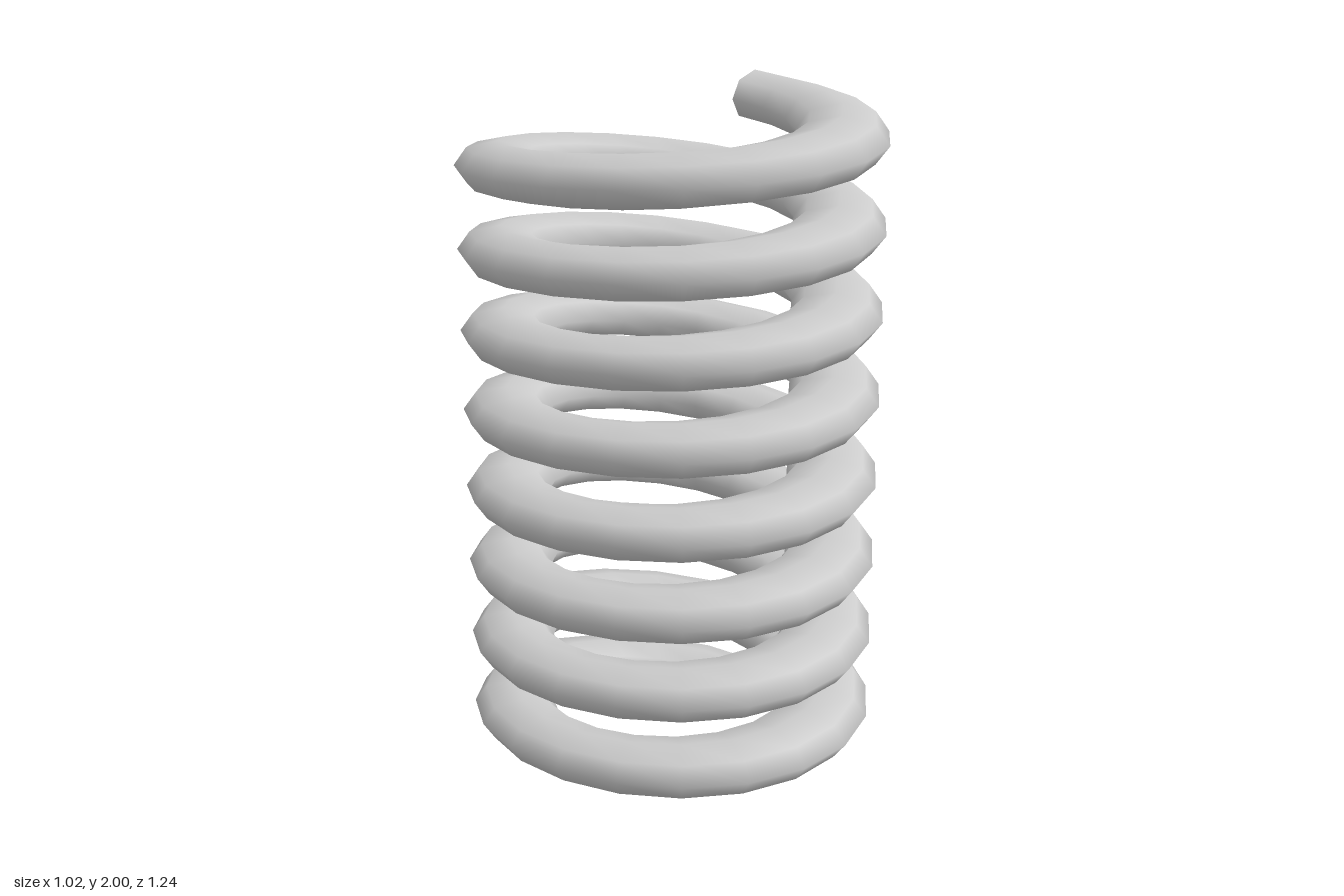
import * as THREE from 'three';
import { ParametricGeometry } from 'three/addons/geometries/ParametricGeometry.js';

const TURNS = 8, STEPS = 20, SIDES = 8;
const RISE = 1.86;               // height gained by the wire's centre line
const COIL = { x: 0.404, z: 0.49 };    // oval coil radii
const WIRE = { x: 0.107, y: 0.07, z: 0.13 }; // wire radii, flattened vertically

export function createModel() {
  const group = new THREE.Group();
  group.name = 'spring';
  const material = new THREE.MeshStandardMaterial({ color: 0xcccccc });

  // Coil: an oval wire section swept up a helix, kept upright all the way
  const sweep = (u, v, target) => {
    const turn = u * TURNS * Math.PI * 2;
    const around = v * Math.PI * 2;
    target.set(
      (COIL.x + WIRE.x * Math.cos(around)) * Math.cos(turn),
      WIRE.y + RISE * u + WIRE.y * Math.sin(around),
      -(COIL.z + WIRE.z * Math.cos(around)) * Math.sin(turn)
    );
  };
  const coil = new THREE.Mesh(new ParametricGeometry(sweep, TURNS * STEPS, SIDES), material);
  coil.name = 'coil';
  group.add(coil);

  // Flat cut ends of the wire
  const addEnd = (name, y, turn) => {
    const geometry = new THREE.CircleGeometry(1, SIDES).scale(WIRE.x, WIRE.y, 1);
    const end = new THREE.Mesh(geometry, material);
    end.name = name;
    end.position.set(COIL.x, y, 0);
    end.rotation.y = turn;
    group.add(end);
  };
  addEnd('bottomEnd', WIRE.y, 0);
  addEnd('topEnd', WIRE.y + RISE, Math.PI);

  return group;
}
